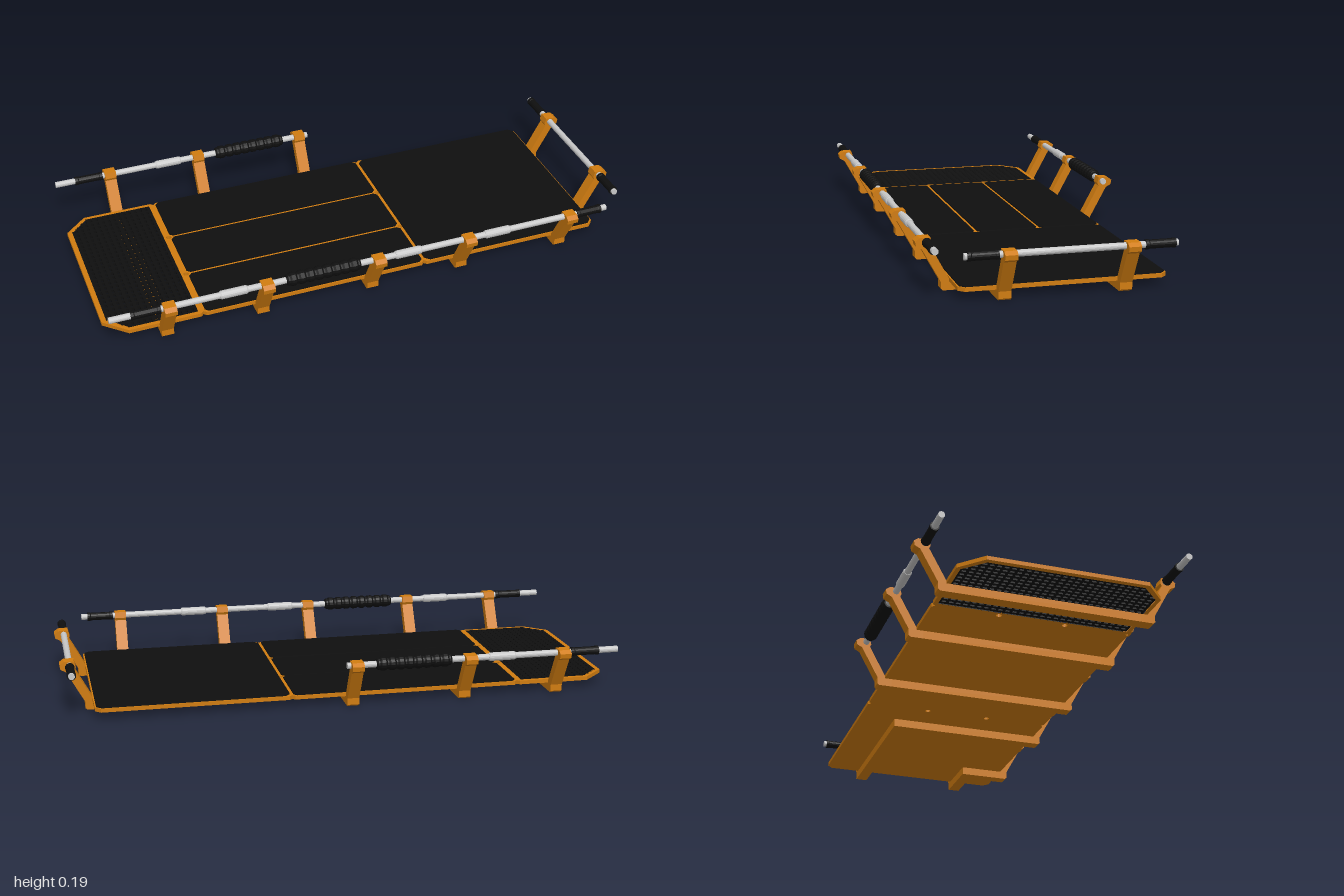
import * as THREE from 'three';

const mat = (name, color) => Object.assign(new THREE.MeshStandardMaterial({ color }), { name });

export function createModel() {
  const orange = mat('orange frame', 0xd07c10);
  const black = mat('black padding', 0x0f0f0f);
  const silver = mat('silver rod', 0xc8c8c8);
  const model = new THREE.Group();
  model.name = 'stretcher';

  const add = (name, geometry, material, parent = model) => {
    const mesh = new THREE.Mesh(geometry, material);
    mesh.name = name;
    parent.add(mesh);
    return mesh;
  };
  const box = (name, x0, x1, y0, y1, z0, z1, material, parent) =>
    add(name, new THREE.BoxGeometry(x1 - x0, y1 - y0, z1 - z0), material, parent)
      .position.set((x0 + x1) / 2, (y0 + y1) / 2, (z0 + z1) / 2);
  const shapeOf = (points) => new THREE.Shape(points.map((p) => new THREE.Vector2(...p)));
  // Horizontal slab from a plan outline
  const slab = (shape, y0, y1) =>
    new THREE.ExtrudeGeometry(shape, { depth: y1 - y0, bevelEnabled: false, curveSegments: 8 })
      .rotateX(-Math.PI / 2).translate(0, y0, 0);
  const mirrored = (half) => [...half, ...half.map(([x, z]) => [x, -z]).reverse()];

  // Deck plate: cut-off corners, notches at the panel joints, grille opening and hinge holes
  const joints = [-0.65, 0.19];
  const half = [[-1, 0.28], [-0.92, 0.355]];
  joints.forEach((x) => half.push([x - 0.01, 0.355], [x, 0.345], [x + 0.01, 0.355]));
  half.push([0.867, 0.355], [0.887, 0.335]);
  const deck = shapeOf(mirrored(half));
  const opening = mirrored([[-0.982, 0.272], [-0.914, 0.34], [-0.668, 0.34]]);
  deck.holes.push(new THREE.Path(opening.map((p) => new THREE.Vector2(...p))));
  for (const x of joints) for (const z of [-0.119, 0.119]) {
    deck.holes.push(new THREE.Path().absarc(x, z, 0.01, 0, Math.PI * 2));
  }
  add('deckPlate', slab(deck, 0.03, 0.044), orange);

  // Pads
  const pad = (name, x0, x1, z0, z1, c = 0.012) => add(name, slab(shapeOf([
    [x0 + c, z0], [x1 - c, z0], [x1, z0 + c], [x1, z1 - c],
    [x1 - c, z1], [x0 + c, z1], [x0, z1 - c], [x0, z0 + c],
  ]), 0.044, 0.048), black);
  pad('largePad', 0.197, 0.882, -0.35, 0.35, 0.018);
  pad('sidePad', -0.643, 0.184, -0.35, -0.125);
  pad('centrePad', -0.643, 0.184, -0.113, 0.113);
  pad('sidePad', -0.643, 0.184, 0.125, 0.35);

  // Grille of crossed bars, clipped to the opening
  const grille = new THREE.Group();
  grille.name = 'grille';
  model.add(grille);
  const columns = 14, rows = 27;
  for (let i = 0; i <= columns; i++) {
    const x = -0.976 + (i / columns) * 0.302;
    const z = Math.min(0.34, 0.272 + x + 0.982);
    box('grilleBar', x - 0.006, x + 0.006, 0.033, 0.045, -z, z, black, grille);
  }
  for (let j = 0; j <= rows; j++) {
    const z = -0.336 + (j / rows) * 0.672;
    const x = -0.982 + Math.max(0, Math.abs(z) - 0.272);
    box('grilleBar', x, -0.668, 0.033, 0.045, z - 0.004, z + 0.004, black, grille);
  }

  // Bent arm that carries a rod
  const w = 0.0215;
  const armGeometry = new THREE.ExtrudeGeometry(shapeOf([
    [0.33, 0], [0.376, 0], [0.383, 0.006], [0.383, 0.03], [0.445, 0.143], [0.464, 0.153],
    [0.467, 0.17], [0.452, 0.181], [0.416, 0.182], [0.41, 0.16], [0.415, 0.15],
    [0.358, 0.045], [0.35, 0.03], [0.33, 0.03],
  ]), { depth: 2 * w, bevelEnabled: false }).translate(0, 0, -w);
  const arm = (name, x, z, angle) => {
    const mesh = add(name, armGeometry, orange);
    mesh.position.set(x, 0, z);
    mesh.rotation.y = angle;
  };

  // Side arms and cross beams
  for (const x of [-0.79, -0.44, -0.025]) {
    box('crossBeam', x - w, x + w, 0, 0.03, -0.33, 0.33, orange);
    arm('frontArm', x, 0, -Math.PI / 2);
    arm('backArm', x, 0, Math.PI / 2);
  }
  const endX = 0.53;
  for (const [x, zEnd, z] of [[0.325, -0.2 - w, -0.2], [0.73, 0.21 - w, 0.21]]) {
    box('crossBeam', x - w, x + w, 0, 0.03, zEnd, 0.33, orange);
    arm('frontArm', x, 0, -Math.PI / 2);
    // Lengthwise beam and end arm
    box('endBeam', x + w, endX + 0.33, 0, 0.03, z - w, z + w, orange);
    arm('endArm', endX, z, 0);
  }

  // Rods, laid along x and then placed
  const turned = (name, x0, x1, radii, material, parent) => {
    const n = radii.length - 1;
    const profile = [[0, x0], ...radii.map(([t, r]) => [r, x0 + t * (x1 - x0)]), [0, x1]];
    const geometry = new THREE.LatheGeometry(profile.map((p) => new THREE.Vector2(...p)), 16);
    const flat = geometry.toNonIndexed().rotateZ(-Math.PI / 2);
    flat.computeVertexNormals();
    return n > 0 && add(name, flat, material, parent);
  };
  const gripShape = [[0, 0.0165], [0.1, 0.0165], [0.13, 0.015], [0.87, 0.015], [0.9, 0.0165], [1, 0.0165]];
  const sleeveShape = [[0, 0.013], [0.05, 0.0155], [0.95, 0.0155], [1, 0.013]];
  const ribShape = [[0, 0.017], [0.02, 0.021]];
  const ribs = 8;
  for (let i = 0; i < ribs; i++) {
    for (const [t, r] of [[0.08, 0.021], [0.28, 0.025], [0.72, 0.025], [0.92, 0.021]]) {
      ribShape.push([0.03 + 0.94 * (i + t) / ribs, r]);
    }
  }
  ribShape.push([0.98, 0.021], [1, 0.017]);

  const rod = (name, x0, x1, grips, sleeves, ribbed) => {
    const group = new THREE.Group();
    group.name = name;
    model.add(group);
    turned('rod', x0, x1, [[0, 0.0115], [1, 0.0115]], silver, group);
    grips.forEach(([a, b]) => turned('grip', a, b, gripShape, black, group));
    sleeves.forEach(([a, b]) => turned('sleeve', a, b, sleeveShape, silver, group));
    ribbed.forEach(([a, b]) => turned('ribbedGrip', a, b, ribShape, black, group));
    return group;
  };
  const leftGrip = [-0.925, -0.82], sleeve = [-0.61, -0.51], ribbed = [-0.37, -0.095];
  rod('frontRod', -1, 0.882, [leftGrip, [0.76, 0.858]],
    [sleeve, [0.04, 0.14], [0.39, 0.49]], [ribbed]).position.set(0, 0.167, 0.43);
  rod('backRod', -1, 0.01, [leftGrip], [sleeve], [ribbed]).position.set(0, 0.167, -0.43);
  const endRod = rod('endRod', -0.357, 0.357, [[-0.347, -0.244], [0.244, 0.347]], [], []);
  endRod.position.set(0.962, 0.167, 0);
  endRod.rotation.y = -Math.PI / 2;

  return model;
}
